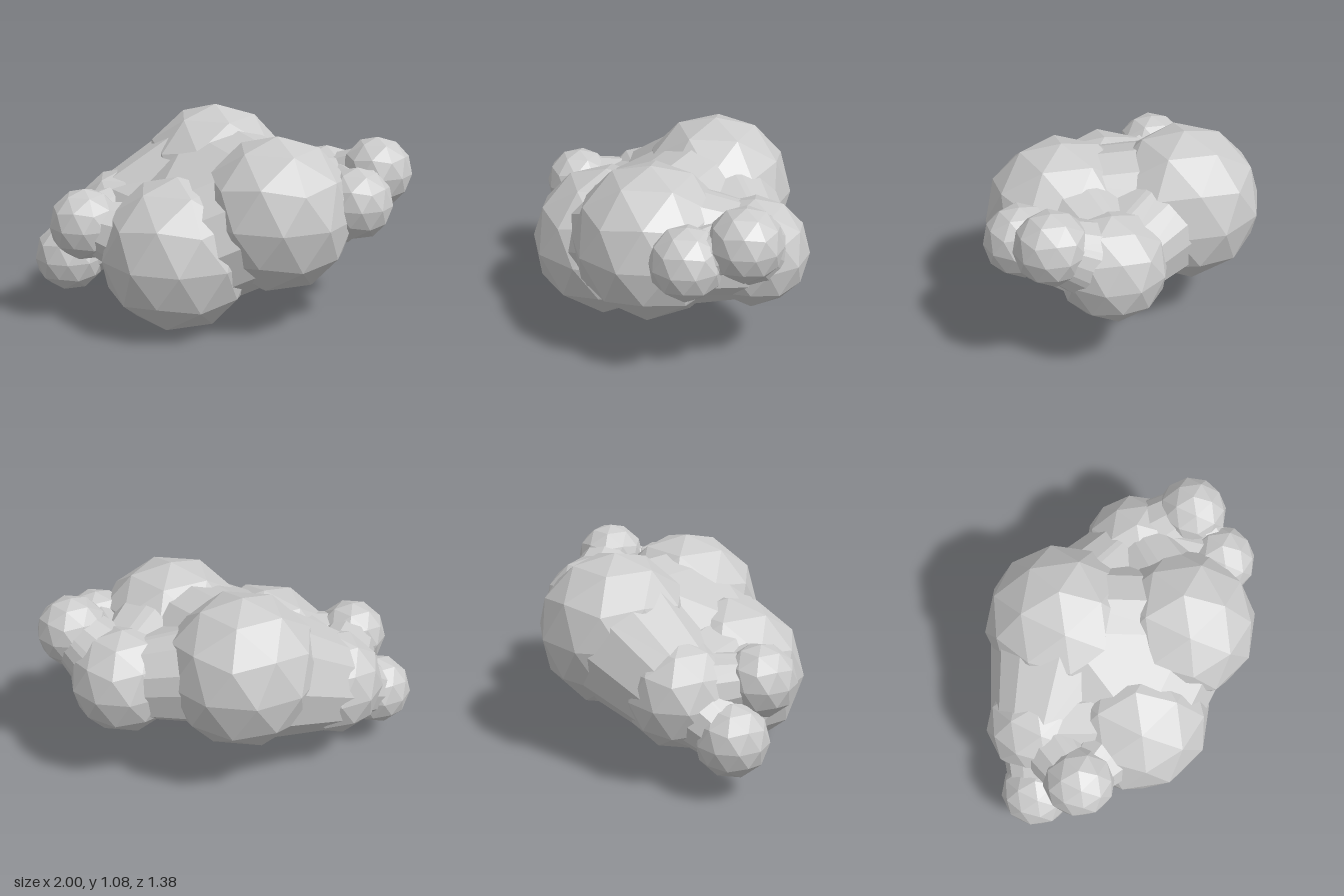
import * as THREE from 'three';
import { ConvexGeometry } from 'three/addons/geometries/ConvexGeometry.js';

// Puffs of the cloud: centre x, y, z and radius
const PUFFS = {
  frontRight: [-0.24, 0.41, 0.27, 0.41],
  frontLeft: [0.27, 0.62, 0.28, 0.41],
  back: [-0.02, 0.67, -0.28, 0.41],
  sideLeft: [0.58, 0.59, -0.14, 0.285],
  sideRight: [-0.52, 0.47, -0.155, 0.285],
  tipLeftUpper: [0.82, 0.78, 0.07, 0.19],
  tipLeftFront: [0.68, 0.68, 0.315, 0.19],
  tipRightFront: [-0.72, 0.55, 0.19, 0.19],
  tipRightLower: [-0.82, 0.31, -0.02, 0.19],
};

// Filled saddles between neighbouring puffs: puff names and relative thickness
const BRIDGES = [
  [['frontRight', 'frontLeft', 'back'], 0.8],
  [['back', 'sideRight'], 0.92],
  [['frontRight', 'sideRight'], 0.85],
  [['back', 'sideLeft'], 0.75],
  [['frontLeft', 'sideLeft'], 0.85],
  [['sideLeft', 'tipLeftUpper'], 0.8],
  [['sideLeft', 'tipLeftFront'], 0.8],
  [['frontLeft', 'tipLeftFront'], 0.7],
  [['tipLeftUpper', 'tipLeftFront'], 0.6],
  [['sideRight', 'tipRightFront'], 0.75],
  [['frontRight', 'tipRightFront'], 0.65],
  [['sideRight', 'tipRightLower'], 0.75],
];

// Faceted ball with a corner pointing straight up
function puffGeometry([x, y, z, r], scale = 1) {
  const g = new THREE.IcosahedronGeometry(r * scale, 1);
  g.rotateZ(-Math.atan(2 / (1 + Math.sqrt(5))));
  g.translate(x, y, z);
  return g;
}

// Convex skin around several slightly shrunken puffs
function bridgeGeometry(names, scale) {
  const points = [];
  for (const name of names) {
    const p = puffGeometry(PUFFS[name], scale).attributes.position;
    const seen = new Set();
    for (let i = 0; i < p.count; i++) {
      const v = new THREE.Vector3().fromBufferAttribute(p, i);
      const key = v.toArray().map((c) => Math.round(c * 1e4)).join();
      if (!seen.has(key)) points.push(v);
      seen.add(key);
    }
  }
  return new ConvexGeometry(points);
}

export function createModel() {
  const cloud = new THREE.Group();
  cloud.name = 'cloud';
  const material = new THREE.MeshStandardMaterial({ color: 0xcccccc, flatShading: true });
  const add = (geometry, name) => {
    const mesh = new THREE.Mesh(geometry, material);
    mesh.name = name;
    cloud.add(mesh);
  };

  // Round puffs
  for (const [name, puff] of Object.entries(PUFFS)) add(puffGeometry(puff), `${name}Puff`);

  // Saddles joining them
  for (const [names, scale] of BRIDGES) add(bridgeGeometry(names, scale), `${names.join('-')}Bridge`);

  return cloud;
}
